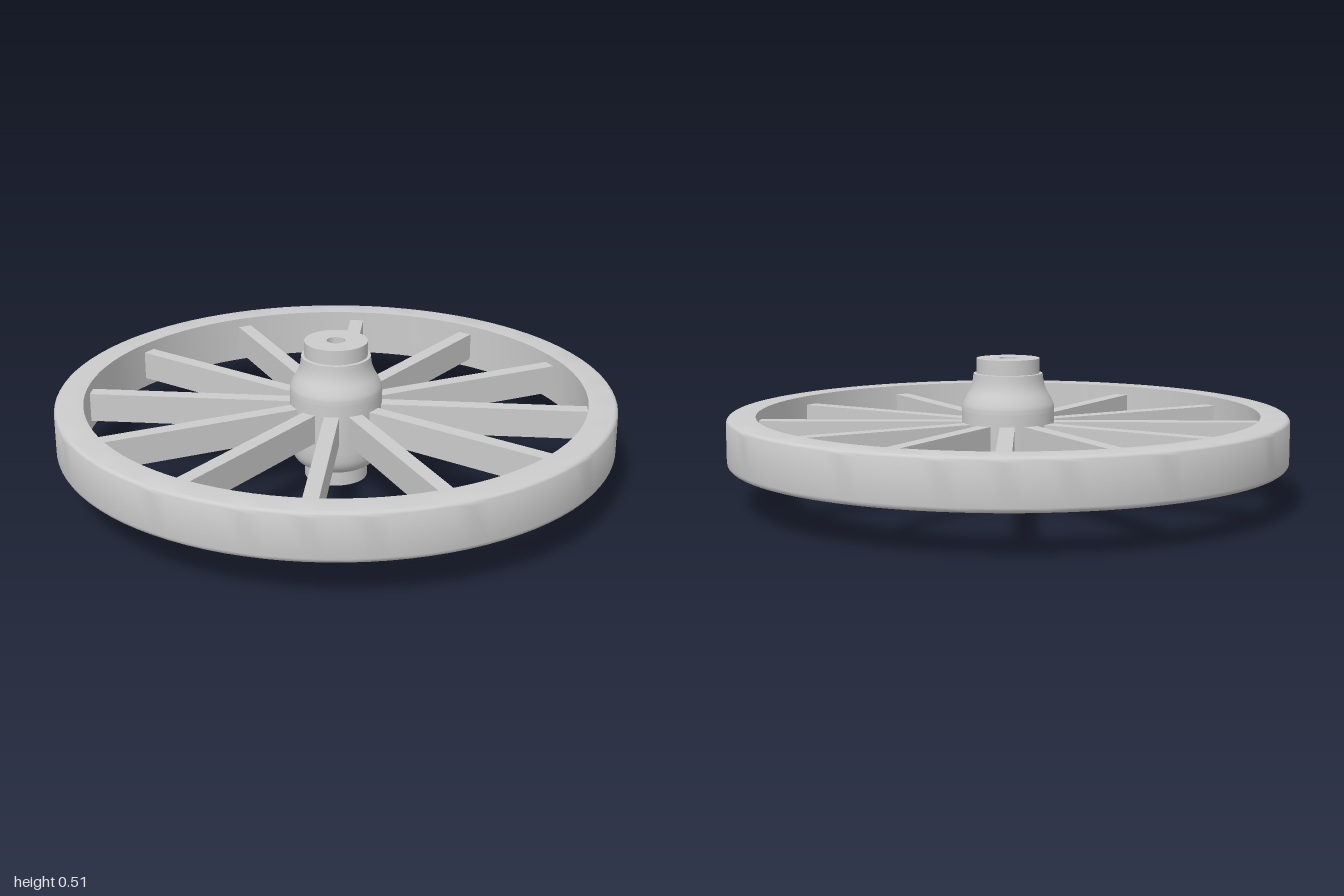
import * as THREE from 'three';
import { toCreasedNormals } from 'three/addons/utils/BufferGeometryUtils.js';

const material = new THREE.MeshStandardMaterial({ color: 0xcccccc });

// Closed [radius, y] profile, listed upwards on the outside, turned around y
function turned(name, profile, segments) {
  const points = profile.map(([r, y]) => new THREE.Vector2(r, y));
  points.push(points[0].clone());
  const geometry = toCreasedNormals(new THREE.LatheGeometry(points, segments), 0.6);
  const mesh = new THREE.Mesh(geometry, material);
  mesh.name = name;
  return mesh;
}

// Points of a smooth curve through a few [radius, y] pairs
function smooth(pairs, count) {
  return new THREE.SplineCurve(pairs.map(([r, y]) => new THREE.Vector2(r, y)))
    .getPoints(count).map((p) => [p.x, p.y]);
}

// Quarter-round corner between two angles
function corner(r, y, radius, start, end, steps = 4) {
  return Array.from({ length: steps + 1 }, (_, i) => {
    const a = start + (end - start) * i / steps;
    return [r + radius * Math.cos(a), y + radius * Math.sin(a)];
  });
}

export function createModel() {
  const model = new THREE.Group();
  model.name = 'spokedWheel';

  const rimBottom = 0.147, rimTop = 0.32, rimInner = 0.897, round = 0.018;

  // Rim, rounded on its outer edges only
  model.add(turned('rim', [
    [rimInner, rimBottom],
    ...corner(1 - round, rimBottom + round, round, -Math.PI / 2, 0),
    ...corner(1 - round, rimTop - round, round, 0, Math.PI / 2),
    [rimInner, rimTop],
  ], 96));

  // Hub: collars at both ends, a swollen middle and an axle bore
  model.add(turned('hub', [
    [0.033, 0],
    [0.113, 0],
    [0.113, 0.054],
    ...smooth([[0.124, 0.056], [0.146, 0.072], [0.161, 0.1], [0.166, 0.14]], 10),
    ...smooth([[0.166, 0.325], [0.164, 0.347], [0.153, 0.373], [0.137, 0.402], [0.128, 0.43], [0.124, 0.46]], 14),
    [0.113, 0.461],
    [0.113, 0.514],
    [0.033, 0.514],
  ], 64));

  // Twelve spokes from inside the hub to the rim
  const inner = 0.12, outer = 0.897;
  const spokeGeometry = new THREE.BoxGeometry(outer - inner, 0.105, 0.053);
  spokeGeometry.translate((inner + outer) / 2, (rimBottom + rimTop) / 2, 0);
  const spokes = new THREE.Group();
  spokes.name = 'spokes';
  for (let i = 0; i < 12; i++) {
    const spoke = new THREE.Mesh(spokeGeometry, material);
    spoke.name = 'spoke';
    spoke.rotation.y = i * Math.PI / 6;
    spokes.add(spoke);
  }
  model.add(spokes);

  return model;
}
